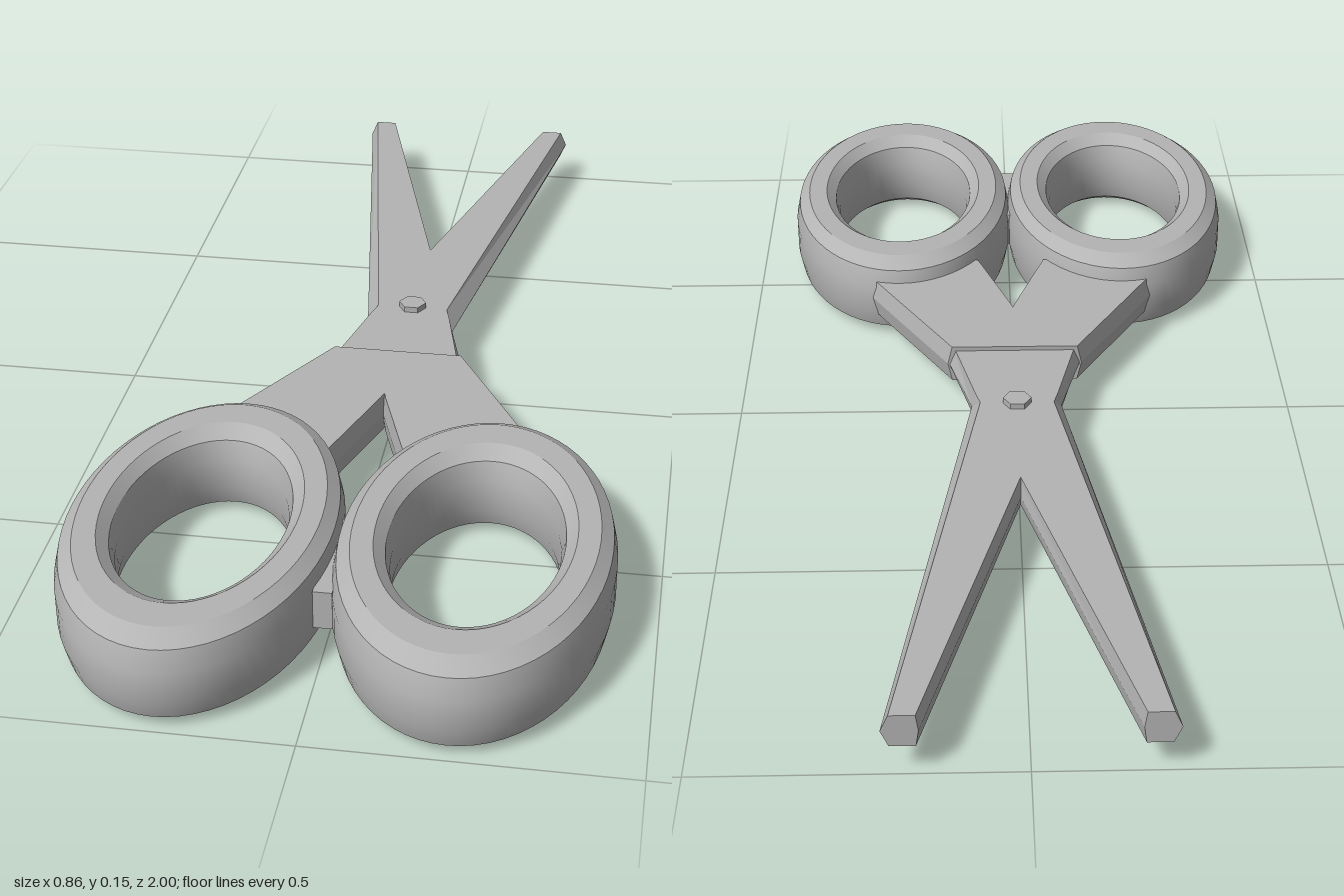
import * as THREE from 'three';
import { toCreasedNormals } from 'three/addons/utils/BufferGeometryUtils.js';

// Solid lofted along z through six-sided sections with pointed side edges.
// Each station: [z, left x, right x, left bevel, right bevel]; s mirrors it in x.
function loft(stations, y0, y1, s) {
  const mid = (y0 + y1) / 2;
  const pos = [];
  const idx = [];
  for (const [z, l, r, bl, br] of stations) {
    const [x0, x1, b0, b1] = s > 0 ? [l, r, bl, br] : [-r, -l, br, bl];
    pos.push(x0 + b0, y0, z, x1 - b1, y0, z, x1, mid, z);
    pos.push(x1 - b1, y1, z, x0 + b0, y1, z, x0, mid, z);
  }
  const last = (stations.length - 1) * 6;
  for (let i = 0; i < last; i += 6) {
    for (let j = 0; j < 6; j++) {
      const k = (j + 1) % 6;
      idx.push(i + j, i + k, i + 6 + k, i + j, i + 6 + k, i + 6 + j);
    }
  }
  for (let j = 1; j < 5; j++) {
    idx.push(0, j + 1, j, last, last + j, last + j + 1);
  }
  const g = new THREE.BufferGeometry();
  g.setAttribute('position', new THREE.Float32BufferAttribute(pos, 3));
  g.setIndex(idx);
  const flat = g.toNonIndexed();
  flat.computeVertexNormals();
  return flat;
}

// Oval finger ring with bevelled rims
function ringGeometry() {
  const profile = [
    [0.217, 0.05], [0.217, 0.104], [0.21, 0.137], [0.19, 0.154],
    [0.155, 0.154], [0.137, 0.137], [0.13, 0.104], [0.13, 0.05],
    [0.137, 0.017], [0.155, 0], [0.19, 0], [0.21, 0.017], [0.217, 0.05],
  ].map(([r, y]) => new THREE.Vector2(r, y));
  const g = new THREE.LatheGeometry(profile, 64);
  g.scale(1, 1, 1.65);
  return toCreasedNormals(g, 0.42);
}

export function createModel() {
  const model = new THREE.Group();
  model.name = 'scissors';
  const grey = new THREE.MeshStandardMaterial({ color: 0xb4b4b4 });
  grey.name = 'grey';

  const add = (parent, name, geometry, x = 0, y = 0, z = 0) => {
    const mesh = new THREE.Mesh(geometry, grey);
    mesh.name = name;
    mesh.position.set(x, y, z);
    parent.add(mesh);
  };

  // Two mirrored halves, each crossing from its handle to the opposite tip
  for (const s of [1, -1]) {
    const half = new THREE.Group();
    half.name = s > 0 ? 'leftHalf' : 'rightHalf';
    model.add(half);

    add(half, 'blade', loft([
      [-1, -0.215, -0.16, 0.012, 0.004],
      [-0.12, -0.08, 0.078, 0.02, 0.006],
      [0.06, -0.04, 0.125, 0.006, 0.012],
    ], 0.051, 0.106, s));

    add(half, 'shank', loft([
      [0.035, -0.045, 0.122, 0.004, 0.008],
      [0.2, 0, 0.215, 0.004, 0.008],
      [0.38, 0.06, 0.316, 0.004, 0.008],
    ], 0.045, 0.114, s));

    add(half, 'fingerRing', ringGeometry(), s * 0.215, 0, 0.64);
  }

  // Stop between the rings
  add(model, 'handleStop', new THREE.BoxGeometry(0.03, 0.066, 0.2), 0, 0.08, 0.68);

  // Hexagonal pivot pin
  const pin = new THREE.CylinderGeometry(0.025, 0.025, 0.075, 6).toNonIndexed();
  pin.computeVertexNormals();
  pin.rotateY(Math.PI / 6);
  add(model, 'pivotPin', pin, 0, 0.079, -0.15);

  return model;
}
